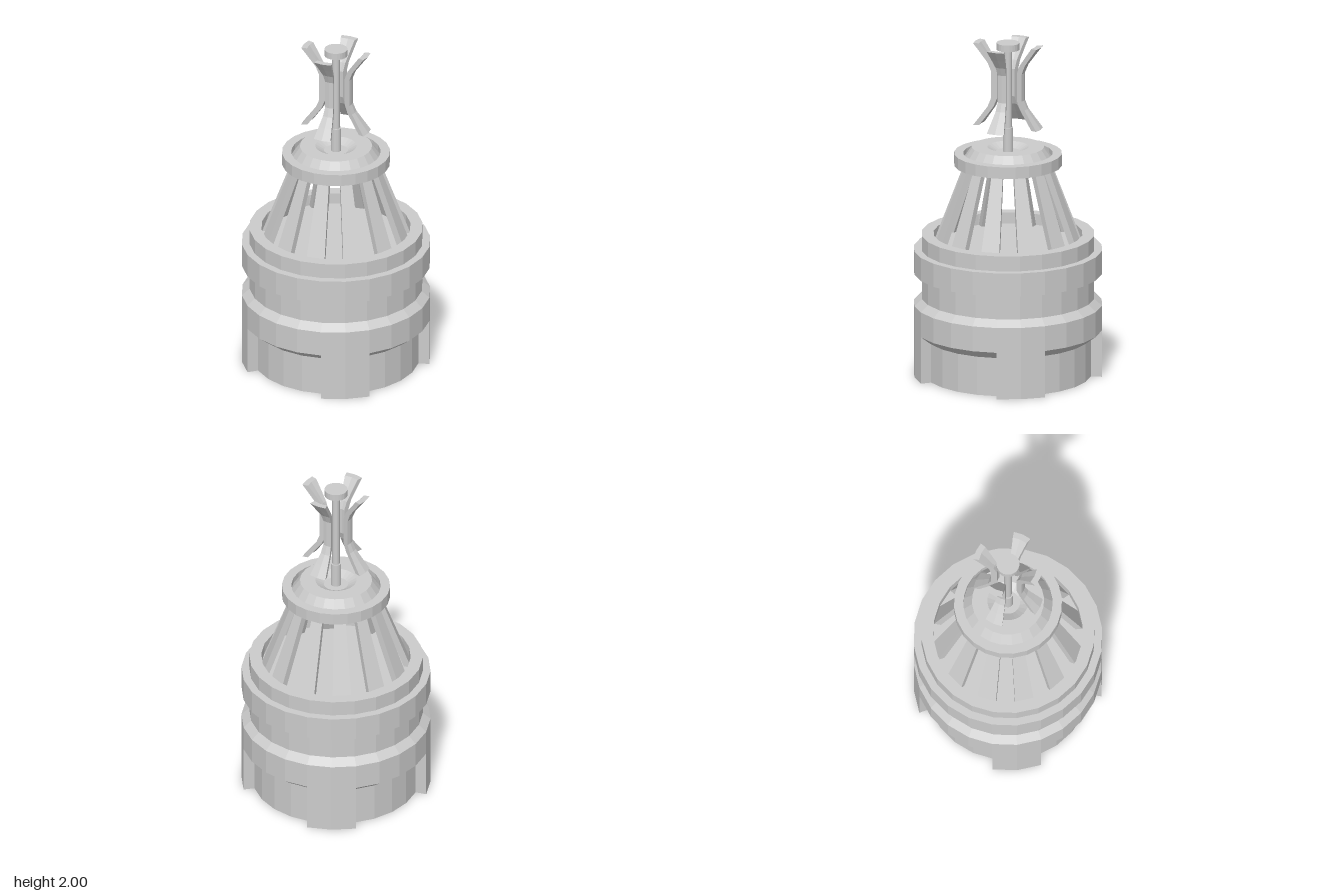
import * as THREE from 'three';
import { mergeGeometries } from 'three/addons/utils/BufferGeometryUtils.js';

const STEP = Math.PI / 12; // one of 24 facets
const material = new THREE.MeshStandardMaterial({ color: 0xcccccc, flatShading: true, side: THREE.DoubleSide });
const toPoints = (profile) => profile.map(([r, y]) => new THREE.Vector2(r, y));

// Revolved strip covering a number of facets from a starting facet
const turn = (profile, start = 0, count = 24) =>
  new THREE.LatheGeometry(toPoints(profile), count, start * STEP, count * STEP);

// Flat radial wall with the given outline
const radialWall = (profile, facet) =>
  new THREE.ShapeGeometry(new THREE.Shape(toPoints(profile))).rotateY(facet * STEP - Math.PI / 2);

// Closed sector: revolved outline with both end faces
const sector = (profile, start, count) => mergeGeometries([
  turn([...profile, profile[0]], start, count),
  radialWall(profile, start),
  radialWall(profile, start + count),
]);

export function createModel() {
  const group = new THREE.Group();
  const add = (name, geometry) => {
    const mesh = new THREE.Mesh(geometry, material);
    mesh.name = name;
    group.add(mesh);
  };

  // Thin skirt: four full-radius tabs alternating with recessed panels
  for (let k = 0; k < 4; k++) {
    const start = 2 + k * 6;
    add('skirtTab', turn([[0.55, 0], [0.55, 0.28]], start, 2));
    add('skirtRecess', turn([[0.485, 0], [0.485, 0.23], [0.55, 0.28]], start + 2, 4));
    const side = [[0.485, 0], [0.55, 0], [0.55, 0.28], [0.485, 0.23]];
    add('tabSide', mergeGeometries([radialWall(side, start), radialWall(side, start + 2)]));
  }

  // Body: lower band, waist, upper band, rim and recessed floor
  add('lowerBand', turn([[0.55, 0.28], [0.55, 0.43], [0.505, 0.47]]));
  add('body', turn([
    [0, 0.47], [0.505, 0.47], [0.505, 0.62], [0.55, 0.62], [0.55, 0.76], [0.505, 0.76],
    [0.505, 0.85], [0.435, 0.85], [0.435, 0.785], [0, 0.785],
  ]));

  // Cage of twelve leaning slats
  for (let k = 0; k < 12; k++) {
    add('cageSlat', sector([[0.395, 0.785], [0.435, 0.785], [0.255, 1.265], [0.215, 1.265]], 1 + k * 2, 1));
  }

  // Collar with a groove, a bevelled cap and a shallow dish
  add('collar', turn([
    [0, 1.265], [0.315, 1.265], [0.315, 1.335], [0.26, 1.335], [0.26, 1.3],
    [0.21, 1.373], [0.12, 1.373], [0.07, 1.345], [0, 1.345],
  ]));

  // Stepped mast with a flat button on top
  add('mast', turn([[0.03, 1.34], [0.03, 1.49], [0.022, 1.49], [0.022, 1.96]]));
  add('mastButton', turn([[0, 1.96], [0.067, 1.96], [0.067, 2], [0, 2]]));

  // Four curved petals flaring at both ends
  const outer = [[0.205, 1.495], [0.16, 1.555], [0.12, 1.61], [0.1, 1.66], [0.1, 1.825], [0.12, 1.875], [0.16, 1.93], [0.205, 1.99]];
  const inner = outer.map(([r, y]) => [r - 0.035, y]).reverse();
  for (let k = 0; k < 4; k++) add('petal', sector([...outer, ...inner], k * 6, 2));

  return group;
}
